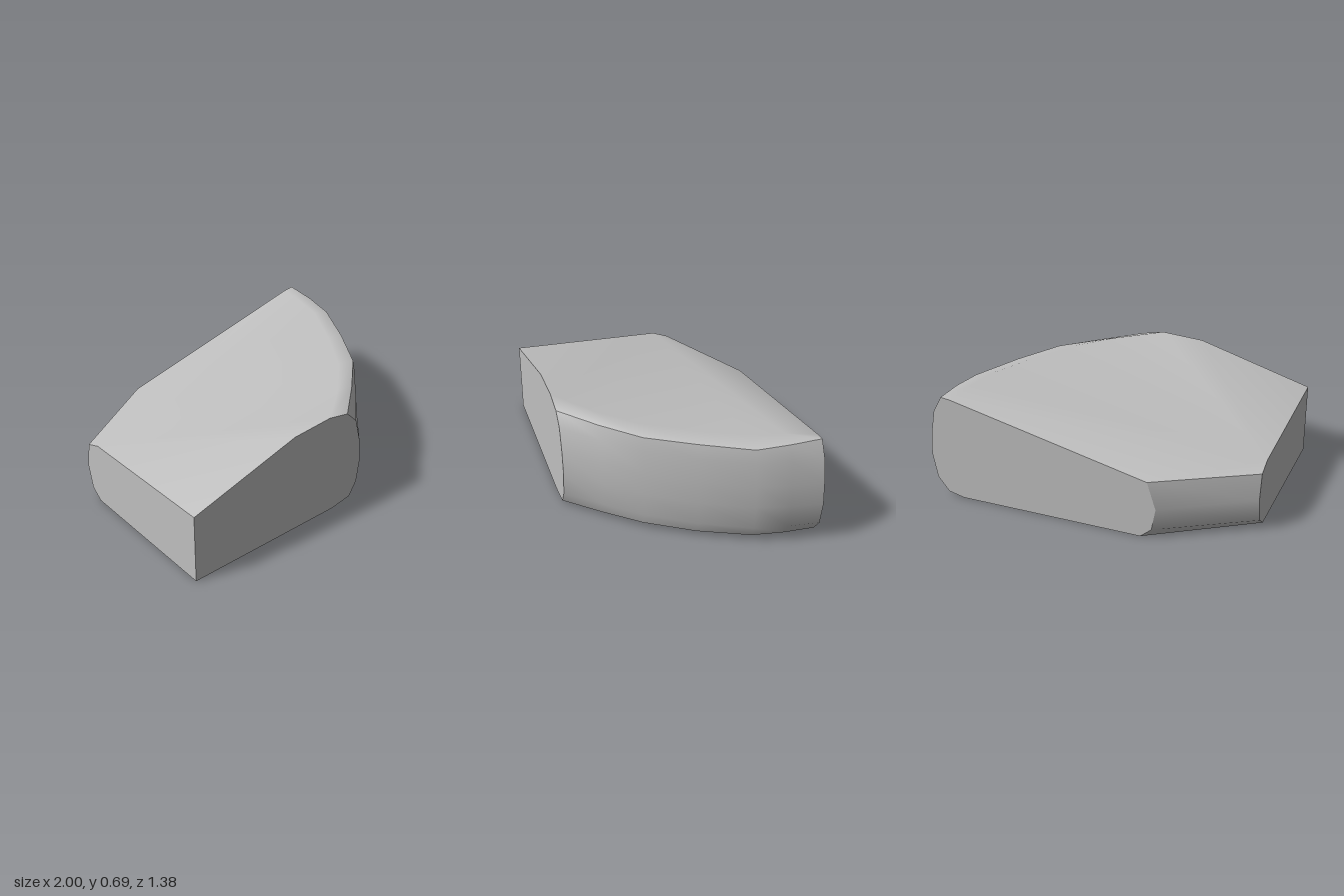
import * as THREE from 'three';

const stone = new THREE.MeshStandardMaterial({ color: 0xc0c0c0 });
stone.name = 'stone grey';

function patch(name, points, index) {
  const g = new THREE.BufferGeometry();
  g.setAttribute('position', new THREE.Float32BufferAttribute(points.flat(), 3));
  g.setIndex(index);
  g.computeVertexNormals();
  const m = new THREE.Mesh(g, stone);
  m.name = name;
  return m;
}

// Flat convex face
function fan(name, points) {
  const index = [];
  for (let i = 1; i < points.length - 1; i++) index.push(0, i, i + 1);
  return patch(name, points, index);
}

// Smooth skin across equal-length columns that run upwards
function skin(name, cols) {
  const n = cols[0].length, index = [];
  for (let i = 0; i < cols.length - 1; i++) {
    for (let j = 0; j < n - 1; j++) {
      const a = i * n + j, b = a + n;
      index.push(a, b, a + 1, b, b + 1, a + 1);
    }
  }
  return patch(name, cols.flat(), index);
}

// Stations along the curved side, front to back:
// z, floor x, lower rim x and y, widest x, upper rim x and y, crest x and y
const stations = [
  [0.69, 0.05, 0.19, 0.025, 0.265, 0.14, 0.655, 0.0, 0.685],
  [0.49, 0.27, 0.38, 0.03, 0.43, 0.365, 0.655, 0.25, 0.685],
  [0.28, 0.47, 0.57, 0.04, 0.605, 0.575, 0.66, 0.45, 0.685],
  [0, 0.62, 0.735, 0.035, 0.78, 0.735, 0.66, 0.62, 0.685],
  [-0.3, 0.75, 0.875, 0.04, 0.92, 0.88, 0.655, 0.77, 0.685],
  [-0.5, 0.78, 0.895, 0.03, 0.97, 0.905, 0.668, 0.81, 0.685],
  [-0.69, 0.8, 0.9, 0.025, 1.0, 0.91, 0.675, 0.85, 0.667],
];

export function createModel() {
  const group = new THREE.Group();
  group.name = 'wedgeBlock';

  const mix = THREE.MathUtils.lerp;
  const cols = stations.map(([z, fx, lx, ly, wx, ux, uy, cx, cy]) => [
    [fx, 0, z], [lx, ly, z],
    [mix(wx, lx, 0.3), 0.115, z], [wx, 0.275, z],
    [mix(wx, ux, 0.1), 0.42, z], [mix(wx, ux, 0.4), 0.575, z],
    [ux, uy, z], [cx, cy, z],
  ]);
  const last = cols.length - 1;

  // Corners of the sloping top
  const A = [-1, 0.46, 0.69], B = [-0.27, 0.67, 0.69], C = [-1, 0.42, -0.26];
  const D = [-1, 0.38, -0.36], E = [-0.41, 0.375, -0.69];

  // Bevelled rear corner, columns from bottom to top
  const bevelBack = [[-0.37, 0, -0.69], [-0.44, 0.06, -0.69], [-0.465, 0.2, -0.69], E];
  const bevelSide = [[-1, 0, -0.28], [-1, 0.06, -0.355], [-1, 0.22, -0.39], D];

  // Curved side and the shallow rim below it
  group.add(skin('curvedSide', cols.map((c) => c.slice(1, 7))));
  group.add(skin('lowerRim', cols.map((c) => c.slice(0, 2))));
  group.add(skin('cornerBevel', [bevelBack, bevelSide]));

  // Top: two slopes meeting on a ridge, rolling over into the curved rim
  const pts = [A, B, C, D, E, ...cols.map((c) => c[7]), ...cols.map((c) => c[6])];
  const crest = 5, rim = 5 + cols.length;
  const index = [0, 1, 2, 2, 1, crest, 2, crest + last, 4, 2, 4, 3];
  for (let i = 0; i < last; i++) {
    const c = crest + i, r = rim + i;
    index.push(2, c, c + 1, c, r, r + 1, c, r + 1, c + 1);
  }
  group.add(patch('topSurface', pts, index));

  // Flat cut faces and base
  group.add(fan('frontFace', [[-1, 0, 0.69], ...cols[0], B, A]));
  group.add(fan('backFace', [...cols[last], ...bevelBack.slice().reverse()].reverse()));
  group.add(fan('endFace', [[-1, 0, 0.69], A, C, ...bevelSide.slice().reverse()]));
  group.add(fan('base', [[-1, 0, 0.69], bevelSide[0], bevelBack[0],
    ...cols.map((c) => c[0]).reverse()]));

  return group;
}
